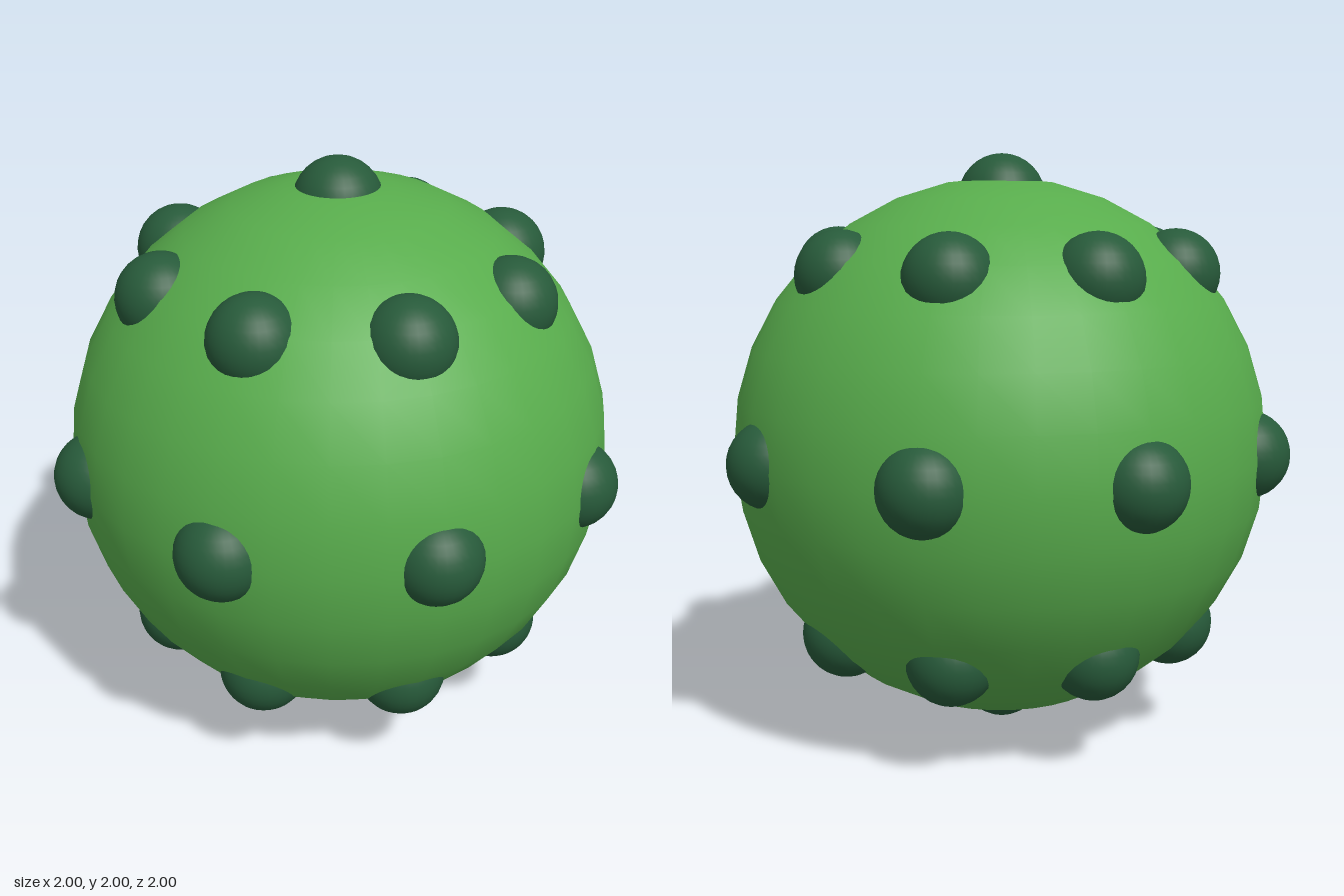
import * as THREE from 'three';

export function createModel() {
  const model = new THREE.Group();
  model.name = 'studdedBall';

  const bodyMaterial = new THREE.MeshStandardMaterial({ color: 0x58ac4c });
  const bumpMaterial = new THREE.MeshStandardMaterial({ color: 0x275a3a });

  // Main ball
  const body = new THREE.Mesh(new THREE.SphereGeometry(0.925, 32, 16), bodyMaterial);
  body.name = 'body';
  body.position.set(0.003, 0.995, 0.005);
  model.add(body);

  // Half-sunk bumps: one at each pole and three rings of eight
  const bumps = new THREE.Group();
  bumps.name = 'bumps';
  bumps.position.y = 1;
  model.add(bumps);

  const bumpGeometry = new THREE.SphereGeometry(0.15, 32, 16);
  const addBump = (polar, azimuth, name) => {
    const bump = new THREE.Mesh(bumpGeometry, bumpMaterial);
    bump.name = name;
    bump.position.setFromSphericalCoords(0.85, polar, azimuth);
    bumps.add(bump);
  };

  addBump(0, 0, 'topBump');
  addBump(Math.PI, 0, 'bottomBump');
  ['upperBump', 'middleBump', 'lowerBump'].forEach((name, ring) => {
    for (let i = 0; i < 8; i++) {
      addBump((ring + 1) * Math.PI / 4, i * Math.PI / 4, name + (i + 1));
    }
  });

  return model;
}
